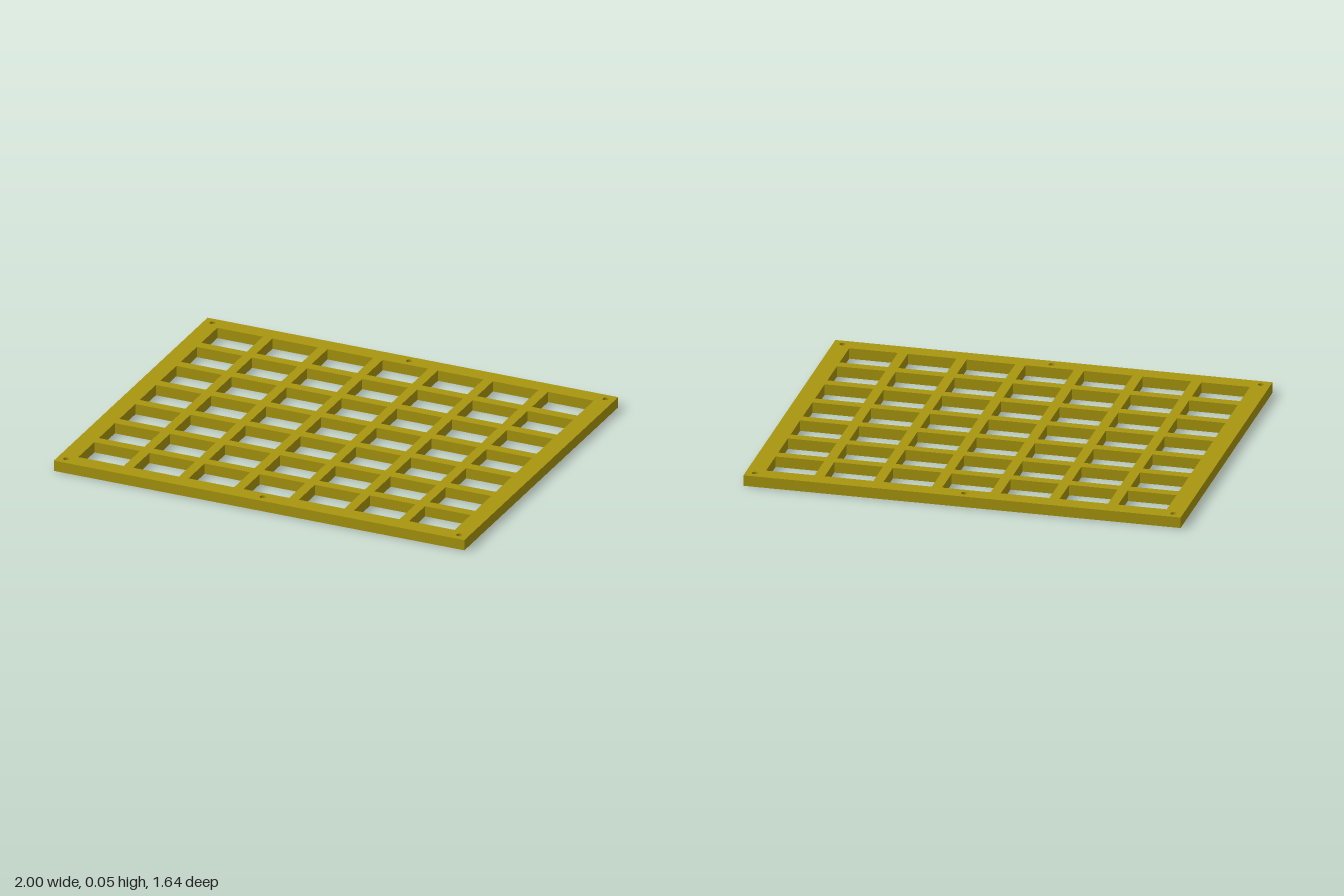
import * as THREE from 'three';

const WIDTH = 2, DEPTH = 1.642, HEIGHT = 0.05;
const COUNT = 7;                              // windows per row and per column
const WIN_X = 0.222, PITCH_X = 0.2685;
const WIN_Z = 0.171, PITCH_Z = 0.2188;
const HOLE_R = 0.014, HOLE_FLOOR = 0.015, HOLE_SEGMENTS = 20;

function rectangle(PathType, cx, cy, w, h) {
  const p = new PathType();
  p.moveTo(cx - w / 2, cy - h / 2);
  p.lineTo(cx + w / 2, cy - h / 2);
  p.lineTo(cx + w / 2, cy + h / 2);
  p.lineTo(cx - w / 2, cy + h / 2);
  p.closePath();
  return p;
}

export function createModel() {
  const group = new THREE.Group();
  group.name = 'gridPanel';
  const material = new THREE.MeshStandardMaterial({ color: 0xa8960e });

  // Frame outline with a regular field of windows
  const outline = rectangle(THREE.Shape, 0, 0, WIDTH, DEPTH);
  const mid = (COUNT - 1) / 2;
  for (let i = 0; i < COUNT; i++) {
    for (let j = 0; j < COUNT; j++) {
      outline.holes.push(rectangle(THREE.Path, (i - mid) * PITCH_X, (j - mid) * PITCH_Z, WIN_X, WIN_Z));
    }
  }

  // Small blind screw holes along the two long rims
  for (const x of [-0.957, 0, 0.957]) {
    for (const z of [-0.781, 0.781]) {
      const hole = new THREE.Path();
      hole.absarc(x, -z, HOLE_R, 0, Math.PI * 2, true);
      outline.holes.push(hole);

      // Hole floor and the closed underside below it
      for (const [name, y, tilt] of [['screwHoleFloor', HOLE_FLOOR, -1], ['screwHoleUnderside', 0, 1]]) {
        const disc = new THREE.Mesh(new THREE.CircleGeometry(HOLE_R, HOLE_SEGMENTS), material);
        disc.name = name;
        disc.rotation.x = tilt * Math.PI / 2;
        disc.position.set(x, y, z);
        group.add(disc);
      }
    }
  }

  // Lattice plate
  const geometry = new THREE.ExtrudeGeometry(outline, {
    depth: HEIGHT, bevelEnabled: false, curveSegments: HOLE_SEGMENTS,
  });
  geometry.rotateX(-Math.PI / 2);
  const lattice = new THREE.Mesh(geometry, material);
  lattice.name = 'latticePlate';
  group.add(lattice);

  return group;
}
